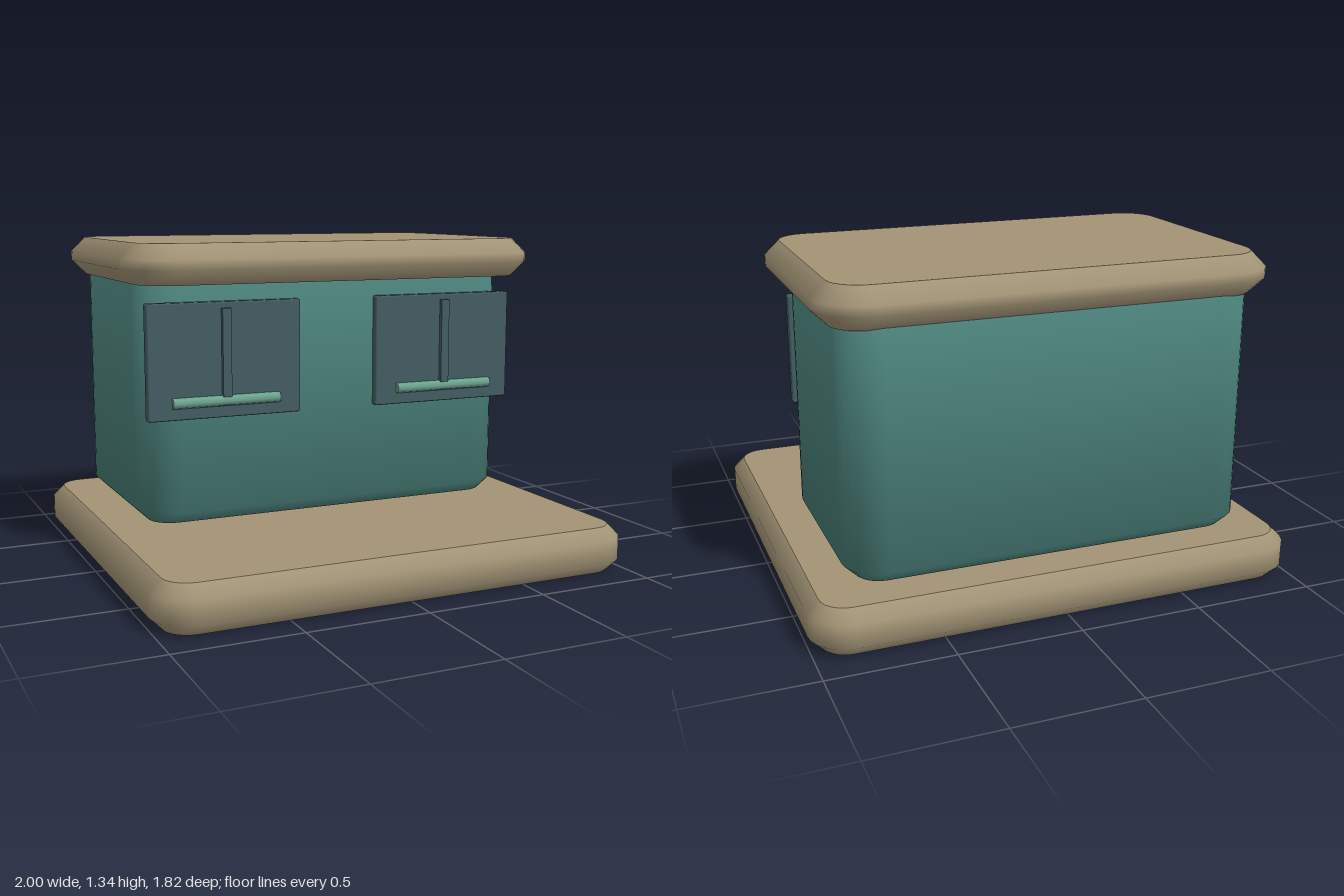
import * as THREE from 'three';
import { RoundedBoxGeometry } from 'three/addons/geometries/RoundedBoxGeometry.js';

const mat = (name, color) => {
  const m = new THREE.MeshStandardMaterial({ color });
  m.name = name;
  return m;
};

// Rounded slab with chamfered, smooth-shaded rims and flat caps.
function slab(w, d, y0, y1, bevel, radius, steps = 6) {
  const pos = [], nor = [], idx = [];
  // Each ring: height, inset from the widest outline, normal tilt (radians; null = cap)
  const rings = [
    [y0, bevel, -Math.PI / 4], [y0 + bevel, 0, -Math.PI / 8],
    [y1 - bevel, 0, Math.PI / 8], [y1, bevel, Math.PI / 4],
    [y0, bevel, -Math.PI / 2], [y1, bevel, Math.PI / 2],
  ];
  const n = 4 * (steps + 1);
  for (const [y, inset, tilt] of rings) {
    for (let q = 0; q < 4; q++) {
      const sx = q === 0 || q === 3 ? 1 : -1, sz = q < 2 ? -1 : 1;
      for (let s = 0; s <= steps; s++) {
        const a = (q + s / steps) * Math.PI / 2;
        const c = Math.cos(a), t = -Math.sin(a), r = radius - inset;
        pos.push(sx * (w / 2 - radius) + c * r, y, sz * (d / 2 - radius) + t * r);
        nor.push(c * Math.cos(tilt), Math.sin(tilt), t * Math.cos(tilt));
      }
    }
  }
  // Walls
  for (let k = 0; k < 3; k++) for (let i = 0; i < n; i++) {
    const j = (i + 1) % n, a = k * n + i, b = k * n + j;
    idx.push(a, b, b + n, a, b + n, a + n);
  }
  // Caps
  for (let i = 1; i < n - 1; i++) {
    idx.push(4 * n, 4 * n + i + 1, 4 * n + i);
    idx.push(5 * n, 5 * n + i, 5 * n + i + 1);
  }
  const g = new THREE.BufferGeometry();
  g.setAttribute('position', new THREE.Float32BufferAttribute(pos, 3));
  g.setAttribute('normal', new THREE.Float32BufferAttribute(nor, 3));
  g.setIndex(idx);
  return g;
}

export function createModel() {
  const group = new THREE.Group();
  const stone = mat('tan stone', 0xa39476);
  const wall = mat('teal wall', 0x4a8079);
  const glass = mat('dark slate', 0x435d62);
  const trim = mat('pale green trim', 0x6da390);

  const add = (parent, name, geometry, material, x = 0, y = 0, z = 0) => {
    const m = new THREE.Mesh(geometry, material);
    m.name = name;
    m.position.set(x, y, z);
    parent.add(m);
    return m;
  };

  // Main volumes
  add(group, 'base', slab(2, 1.82, 0, 0.19, 0.048, 0.15), stone);
  add(group, 'body', slab(1.66, 0.955, 0.203, 1.22, 0.05, 0.15), wall, 0, 0, -0.3);
  add(group, 'roof', slab(1.82, 1.16, 1.178, 1.34, 0.061, 0.19), stone, 0, 0, -0.24);

  // Pair of front windows, each with an upright bar and a rail
  for (const side of [-1, 1]) {
    const win = new THREE.Group();
    win.name = side > 0 ? 'leftWindow' : 'rightWindow';
    win.position.set(side * 0.4985, 0, 0);
    add(win, 'panel', new RoundedBoxGeometry(0.65, 0.466, 0.046, 1, 0.007), glass, 0, 0.873, 0.187);
    add(win, 'uprightBar', new THREE.BoxGeometry(0.037, 0.392, 0.03), glass, 0, 0.885, 0.213);
    const rail = add(win, 'rail', new THREE.CylinderGeometry(0.022, 0.022, 0.455, 8), trim, 0, 0.709, 0.213);
    rail.rotation.z = Math.PI / 2;
    group.add(win);
  }
  return group;
}
